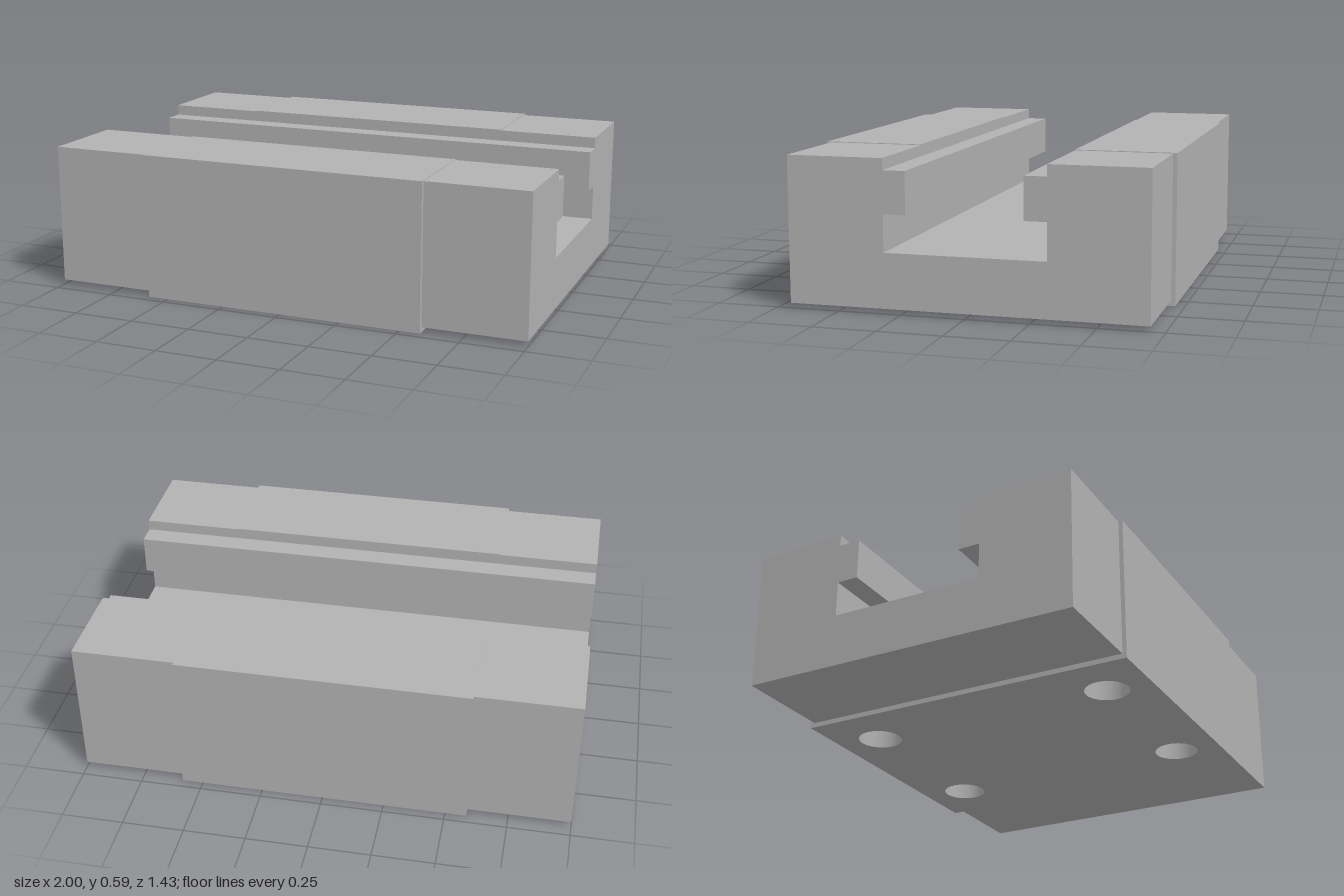
import * as THREE from 'three';

const FLOOR = 0.234;          // height of the channel floor
const TOP = 0.592;
const BODY_X = 0.585;         // half length of the main block
const BODY_Z = 0.713;         // half width of the main block

// Stepped inner outline of one jaw, from channel floor to top, as [z, y]
const jawInner = (top) => [
  [0.315, FLOOR], [0.315, 0.379], [0.227, 0.379],
  [0.227, 0.544], [0.315, 0.544], [0.315, top],
];

const toShape = (pts) => new THREE.Shape(pts.map(([a, b]) => new THREE.Vector2(a, b)));

// Extrude a z-y cross-section along x between x0 and x1
function extrudeAlongX(pts, x0, x1) {
  const g = new THREE.ExtrudeGeometry(toShape(pts), { depth: x1 - x0, bevelEnabled: false });
  g.translate(0, 0, x0);
  g.rotateY(-Math.PI / 2);
  g.rotateY(Math.PI);
  return g;
}

export function createModel() {
  const group = new THREE.Group();
  group.name = 'railCarriage';
  const steel = new THREE.MeshStandardMaterial({ color: 0xb2b2b2 });
  steel.name = 'greySteel';

  const add = (name, geometry) => {
    const mesh = new THREE.Mesh(geometry, steel);
    mesh.name = name;
    group.add(mesh);
  };

  // Base slab with four mounting bores, closed above by the jaws
  const slab = toShape([[-BODY_X, -BODY_Z], [BODY_X, -BODY_Z], [BODY_X, BODY_Z], [-BODY_X, BODY_Z]]);
  for (const x of [-0.352, 0.352]) {
    for (const z of [-0.525, 0.525]) {
      slab.holes.push(new THREE.Path().absarc(x, z, 0.09, 0, Math.PI * 2, true));
    }
  }
  const base = new THREE.ExtrudeGeometry(slab, { depth: FLOOR, bevelEnabled: false, curveSegments: 48 });
  base.rotateX(-Math.PI / 2);
  add('baseSlab', base);

  // Jaws gripping the channel on both sides
  for (const [name, s] of [['frontJaw', 1], ['backJaw', -1]]) {
    const pts = [...jawInner(TOP), [BODY_Z, TOP], [BODY_Z, FLOOR]].map(([z, y]) => [z * s, y]);
    add(name, extrudeAlongX(pts, -BODY_X, BODY_X));
  }

  // Slightly smaller end caps with the same channel
  const capTop = TOP - 0.003, capBottom = 0.02, capZ = 0.696;
  const half = [...jawInner(capTop), [capZ, capTop], [capZ, capBottom]];
  const capProfile = [...half, ...half.map(([z, y]) => [-z, y]).reverse()];
  add('rightEndCap', extrudeAlongX(capProfile, -1, -BODY_X));
  add('leftEndCap', extrudeAlongX(capProfile, BODY_X, 1));

  return group;
}
